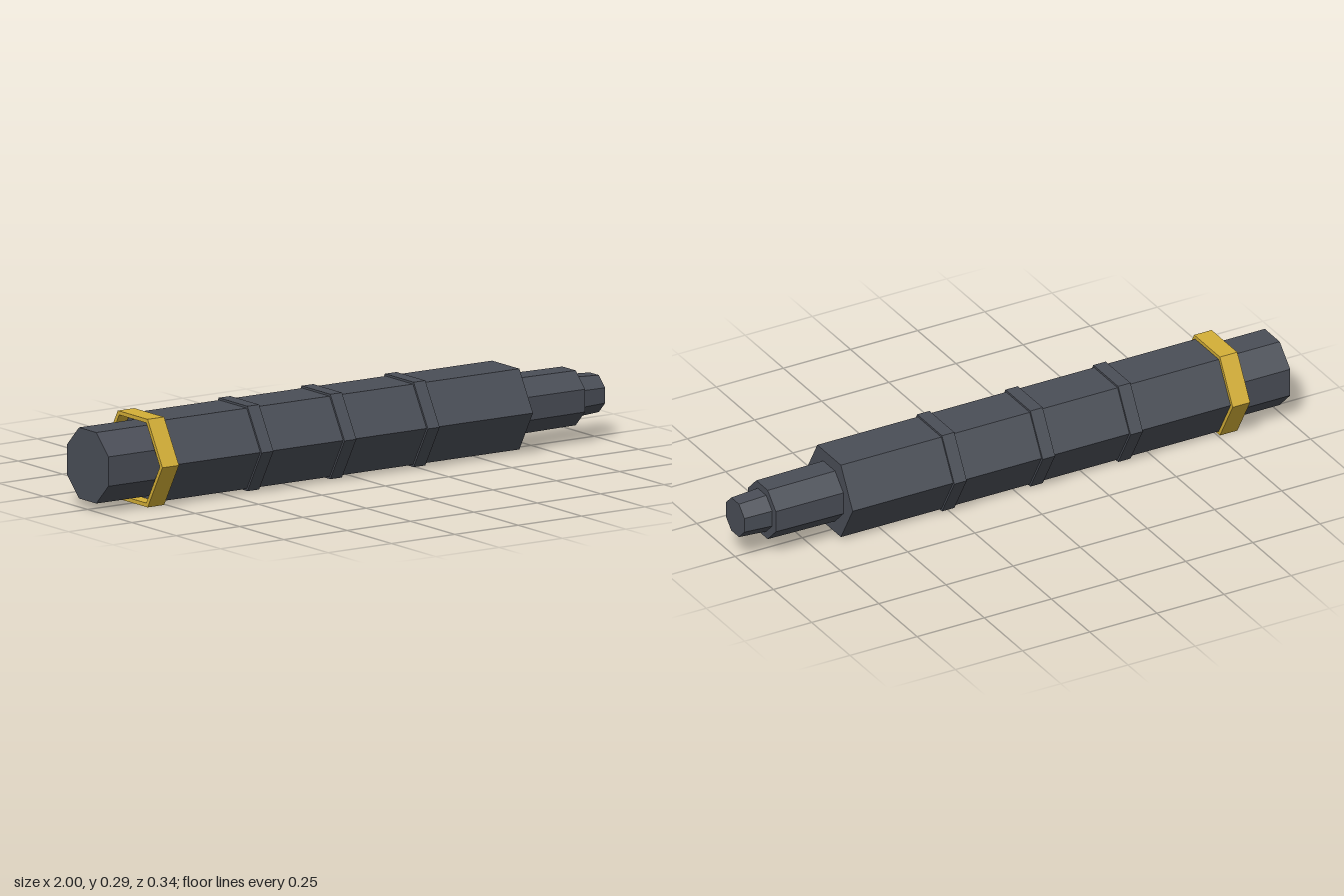
import * as THREE from 'three';

const AXIS_Y = 0.1455;

export function createModel() {
  const model = new THREE.Group();
  const gunmetal = new THREE.MeshStandardMaterial({ color: 0x4a4e57, flatShading: true });
  gunmetal.name = 'gunmetal';
  const gold = new THREE.MeshStandardMaterial({ color: 0xd4af37, flatShading: true });
  gold.name = 'gold';

  // Lay a y-axis geometry along x at the model's axis height
  const add = (name, geometry, material) => {
    geometry.rotateZ(-Math.PI / 2);
    const mesh = new THREE.Mesh(geometry, material);
    mesh.name = name;
    mesh.position.y = AXIS_Y;
    model.add(mesh);
  };

  // Solid prism from x0 to x1; octagons are turned to lie on a flat
  const prism = (name, sides, x0, x1, r0, r1 = r0) => {
    const start = sides === 8 ? Math.PI / 8 : 0;
    const g = new THREE.CylinderGeometry(r1, r0, x1 - x0, sides, 1, false, start);
    add(name, g.translate(0, (x0 + x1) / 2, 0), gunmetal);
  };

  // Hexagonal barrel with three raised bands
  prism('barrel', 6, -0.78, 0.65, 0.154);
  [-0.403, -0.076, 0.253].forEach((x, i) =>
    prism(`band${i + 1}`, 6, x - 0.023, x + 0.023, 0.162));

  // Octagonal end cap, nozzle and tapered tip
  prism('endCap', 8, -1, -0.77, 0.127);
  prism('nozzle', 8, 0.64, 0.9, 0.101, 0.098);
  prism('tip', 8, 0.89, 1, 0.073, 0.066);

  // Hollow hexagonal collar
  const profile = [[0.168, -0.822], [0.168, -0.757], [0.153, -0.757], [0.153, -0.822], [0.168, -0.822]]
    .map(([r, x]) => new THREE.Vector2(r, x));
  add('collar', new THREE.LatheGeometry(profile, 6), gold);

  return model;
}
